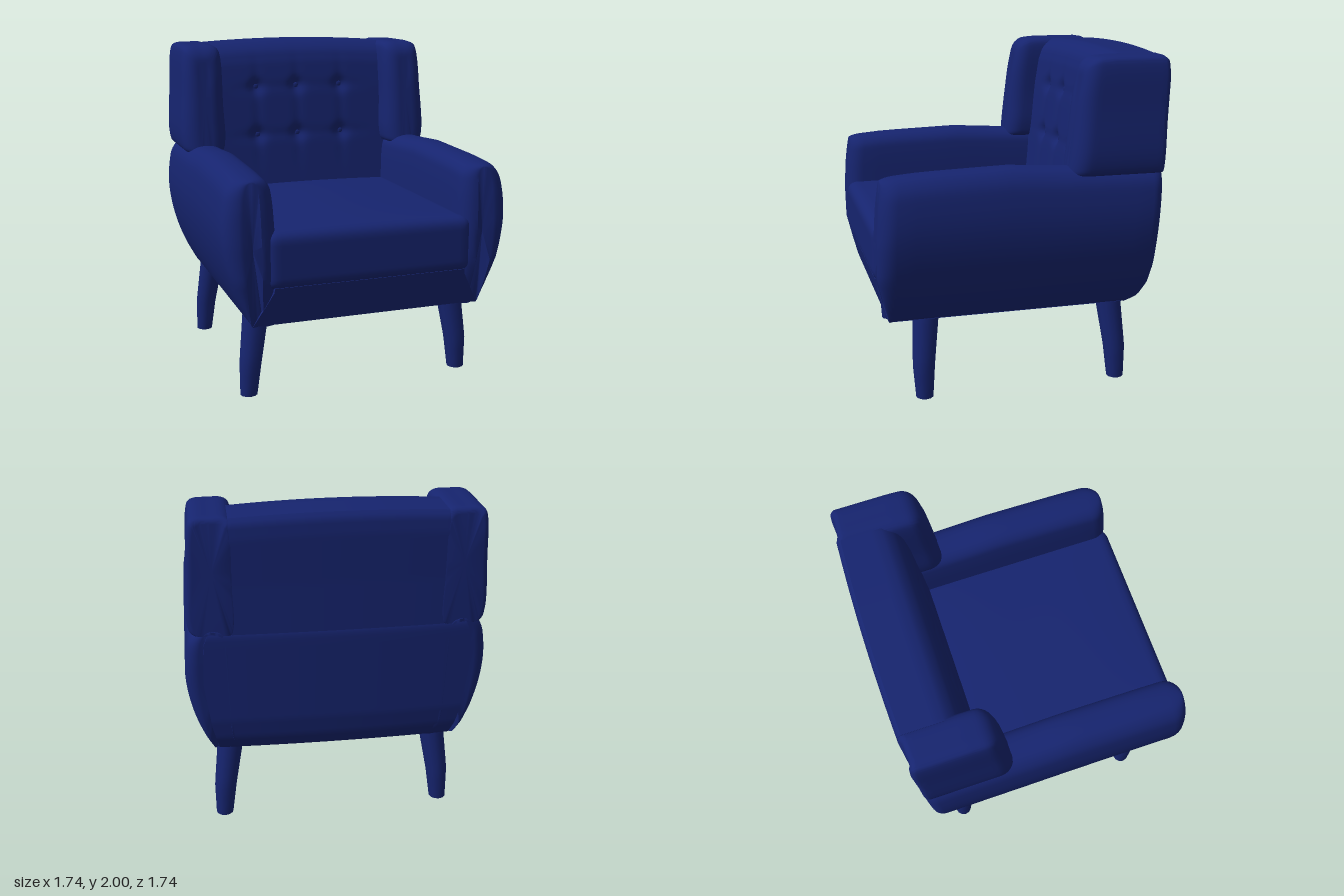
import * as THREE from 'three';
import { toCreasedNormals } from 'three/addons/utils/BufferGeometryUtils.js';

const fabric = new THREE.MeshStandardMaterial({ color: 0x16246f });

// Piecewise linear lookup in [[key, value], ...]
function table(points, k) {
  if (k <= points[0][0]) return points[0][1];
  for (let i = 1; i < points.length; i++) {
    const [a, va] = points[i - 1], [b, vb] = points[i];
    if (k <= b) return va + (vb - va) * (k - a) / (b - a);
  }
  return points[points.length - 1][1];
}

// Curved rear surface shared by the arms, wings and back
const BACK = [[0.49, -0.66], [0.53, -0.74], [0.62, -0.79], [0.75, -0.815], [1, -0.83],
  [1.25, -0.845], [1.6, -0.855], [1.88, -0.87], [1.97, -0.865], [2, -0.84]];
const backZ = (x, y) => table(BACK, y) + 0.025 * (x / 0.82) ** 2;

function addMesh(group, name, geometry, crease = 0.7) {
  const mesh = new THREE.Mesh(toCreasedNormals(geometry, crease), fabric);
  mesh.name = name;
  group.add(mesh);
  return mesh;
}

// Move every vertex of a geometry by a rule
function shape(geometry, rule) {
  const p = geometry.attributes.position, v = new THREE.Vector3();
  for (let i = 0; i < p.count; i++) {
    rule(v.fromBufferAttribute(p, i));
    p.setXYZ(i, v.x, v.y, v.z);
  }
  return geometry;
}

// Padded panel: a front-view outline carried from back to front with rounded ends
function paddedPanel(o, side) {
  const curve = new THREE.CatmullRomCurve3(o.profile.map(([x, y]) => new THREE.Vector3(x, y, 0)), true);
  const pts = curve.getPoints(72).slice(0, 72), n = pts.length;
  const rings = [], steps = 7, mid = 14;
  for (let i = 0; i <= steps; i++) {
    const a = i / steps * Math.PI / 2;
    rings.push({ t: 0, inset: o.rBack * (1 - Math.sin(a)), off: -o.rBack * Math.cos(a) });
  }
  for (let i = 1; i < mid; i++) rings.push({ t: i / mid, inset: 0, off: 0 });
  for (let i = 0; i <= steps; i++) {
    const a = i / steps * Math.PI / 2;
    rings.push({ t: 1, inset: o.rFront * (1 - Math.cos(a)), off: o.rFront * Math.sin(a) });
  }
  const pos = [], index = [];
  const tri = (a, b, c) => side > 0 ? index.push(a, b, c) : index.push(a, c, b);
  for (const r of rings) {
    for (const p of pts) {
      const f = Math.max(0, (p.y - o.base) / (o.top - o.base));
      const x = o.cx + (p.x - o.cx) * (1 - r.inset / o.half);
      const z0 = backZ(p.x, p.y) + o.rBack, z1 = table(o.front, p.y) - o.rFront;
      const z = z0 + (z1 - z0) * r.t + r.off;
      const y = p.y - f * (r.inset * o.topRound + table(o.sag, z));
      pos.push(side * x, y, z);
    }
  }
  for (let i = 0; i < rings.length - 1; i++) {
    for (let j = 0; j < n; j++) {
      const k = (j + 1) % n, a = i * n;
      tri(a + j, a + k, a + n + k);
      tri(a + j, a + n + k, a + n + j);
    }
  }
  // End caps fan out from the middle of each end ring
  for (const ring of [0, rings.length - 1]) {
    const c = pos.length / 3, m = [0, 0, 0];
    for (let j = 0; j < n; j++) for (let d = 0; d < 3; d++) m[d] += pos[(ring * n + j) * 3 + d] / n;
    pos.push(...m);
    for (let j = 0; j < n; j++) {
      const a = ring * n + j, b = ring * n + (j + 1) % n;
      ring ? tri(c, a, b) : tri(c, b, a);
    }
  }
  const g = new THREE.BufferGeometry();
  g.setAttribute('position', new THREE.Float32BufferAttribute(pos, 3));
  g.setIndex(index);
  return g;
}

const ARM = {
  profile: [[0.5, 0.49], [0.6, 0.49], [0.695, 0.49], [0.735, 0.55], [0.8, 0.7], [0.85, 0.88], [0.87, 1.05],
    [0.86, 1.2], [0.835, 1.3], [0.78, 1.36], [0.7, 1.375], [0.63, 1.36], [0.59, 1.32], [0.575, 1.25],
    [0.56, 1], [0.54, 0.7]],
  front: [[0.49, 0.8], [0.6, 0.83], [0.78, 0.87], [1, 0.872], [1.2, 0.86], [1.375, 0.84]],
  sag: [[-0.8, 0.035], [-0.2, 0.02], [0.1, 0], [0.6, 0.015], [0.84, 0.035]],
  cx: 0.71, half: 0.15, base: 0.49, top: 1.375, rFront: 0.1, rBack: 0.07, topRound: 0.15,
};

const WING = {
  profile: [[0.58, 1.31], [0.7, 1.31], [0.82, 1.31], [0.845, 1.38], [0.833, 1.7], [0.818, 1.93], [0.803, 1.97],
    [0.77, 1.985], [0.7, 1.987], [0.62, 1.985], [0.585, 1.965], [0.57, 1.92], [0.565, 1.6], [0.56, 1.38]],
  front: [[1.31, -0.255], [1.6, -0.28], [1.8, -0.3], [1.99, -0.33]],
  sag: [[-1, 0], [-0.5, 0], [-0.3, 0.015]],
  cx: 0.7, half: 0.14, base: 1.31, top: 1.987, rFront: 0.1, rBack: 0.035, topRound: 1,
};

// Tufted backrest
const REST_FRONT = [[0.49, -0.36], [1, -0.385], [1.35, -0.42], [1.7, -0.455], [1.86, -0.48], [1.93, -0.505],
  [1.97, -0.54], [2, -0.59]];
const BUTTONS = [];
for (const x of [-0.31, -0.03, 0.28]) for (const y of [1.38, 1.7]) BUTTONS.push([x, y]);

function restZ(x, y) {
  let dent = 0;
  for (const [bx, by] of BUTTONS) {
    const dx = x - bx, dy = y - by;
    dent += 0.026 * Math.exp(-(dx * dx + dy * dy) / 0.0022);
    dent += 0.006 * Math.exp(-dx * dx / 0.001 - dy * dy / 0.03);
    dent += 0.006 * Math.exp(-dy * dy / 0.001 - dx * dx / 0.02);
  }
  return table(REST_FRONT, y) - dent;
}

function backrest() {
  return shape(new THREE.BoxGeometry(1.2, 1.4, 1, 64, 72, 4), v => {
    const t = v.z + 0.5, y = v.y + 1.3;
    v.z = backZ(v.x, y) * (1 - t) + restZ(v.x, y) * t;
    v.y = y - 0.02 * (v.x / 0.6) ** 2 * (y - 0.6) / 1.4;
  });
}

// Lower back between the arms
function lowerBack() {
  const width = [[0.49, 0.68], [0.7, 0.73], [1, 0.77], [1.25, 0.76], [1.34, 0.72]];
  return shape(new THREE.BoxGeometry(2, 0.85, 1, 24, 36, 1), v => {
    v.y += 0.915;
    v.x *= table(width, v.y);
    const lip = 0.02 * Math.max(0, (v.y - 1.29) / 0.05) ** 2;
    v.z = v.z < 0 ? backZ(v.x, v.y) - 0.004 + lip : -0.6;
  });
}

// Front rail and underside, mitred against the arms
function seatBase() {
  const width = [[0.49, 0.7], [0.7, 0.585]];
  const front = [[0.49, 0.803], [0.6, 0.834], [0.72, 0.862]];
  return shape(new THREE.BoxGeometry(2, 0.23, 1, 1, 8, 1), v => {
    v.y += 0.605;
    v.x *= table(width, v.y);
    v.z = v.z > 0 ? table(front, v.y) : -0.64;
  });
}

// Rounded seat cushion with a crowned top
function seatCushion() {
  const h = [0.63, 0.168, 0.69], r = 0.06, q = new THREE.Vector3();
  return shape(new THREE.BoxGeometry(1.26, 0.336, 1.38, 44, 14, 48), v => {
    q.set(...['x', 'y', 'z'].map((a, i) => THREE.MathUtils.clamp(v[a], r - h[i], h[i] - r)));
    v.sub(q).setLength(r).add(q);
    const crown = (1 - (v.x / 0.63) ** 2) * (1 - (v.z / 0.69) ** 4);
    if (v.y > 0) v.y += 0.025 * crown * v.y / 0.168;
    v.y += 0.87;
    v.z += 0.183;
  });
}

// Tapered, splayed leg
function leg(sx, sz) {
  const x = [[0, 0.678], [0.2, 0.665], [0.52, 0.62]];
  const z = sz > 0 ? [[0, 0.597], [0.2, 0.597], [0.52, 0.572]] : [[0, 0.605], [0.2, 0.597], [0.52, 0.562]];
  const r = [[0, 0.052], [0.2, 0.067], [0.52, 0.08]];
  return shape(new THREE.CylinderGeometry(1, 1, 0.52, 12, 8), v => {
    v.y += 0.26;
    const s = table(r, v.y);
    v.x = v.x * s + sx * table(x, v.y);
    v.z = v.z * s + sz * table(z, v.y);
  });
}

export function createModel() {
  const chair = new THREE.Group();
  chair.name = 'armchair';
  for (const side of [1, -1]) {
    const label = side > 0 ? 'left' : 'right';
    addMesh(chair, label + 'Arm', paddedPanel(ARM, side));
    addMesh(chair, label + 'Wing', paddedPanel(WING, side));
    addMesh(chair, label + 'FrontLeg', leg(side, 1));
    addMesh(chair, label + 'BackLeg', leg(side, -1));
  }
  addMesh(chair, 'backrest', backrest());
  addMesh(chair, 'lowerBack', lowerBack());
  addMesh(chair, 'seatBase', seatBase());
  addMesh(chair, 'seatCushion', seatCushion());
  // Buttons in the tufts
  for (const [x, y] of BUTTONS) {
    const button = addMesh(chair, 'button', new THREE.SphereGeometry(0.018, 16, 10));
    button.scale.z = 0.5;
    button.position.set(x, y, restZ(x, y) + 0.002);
  }
  return chair;
}
